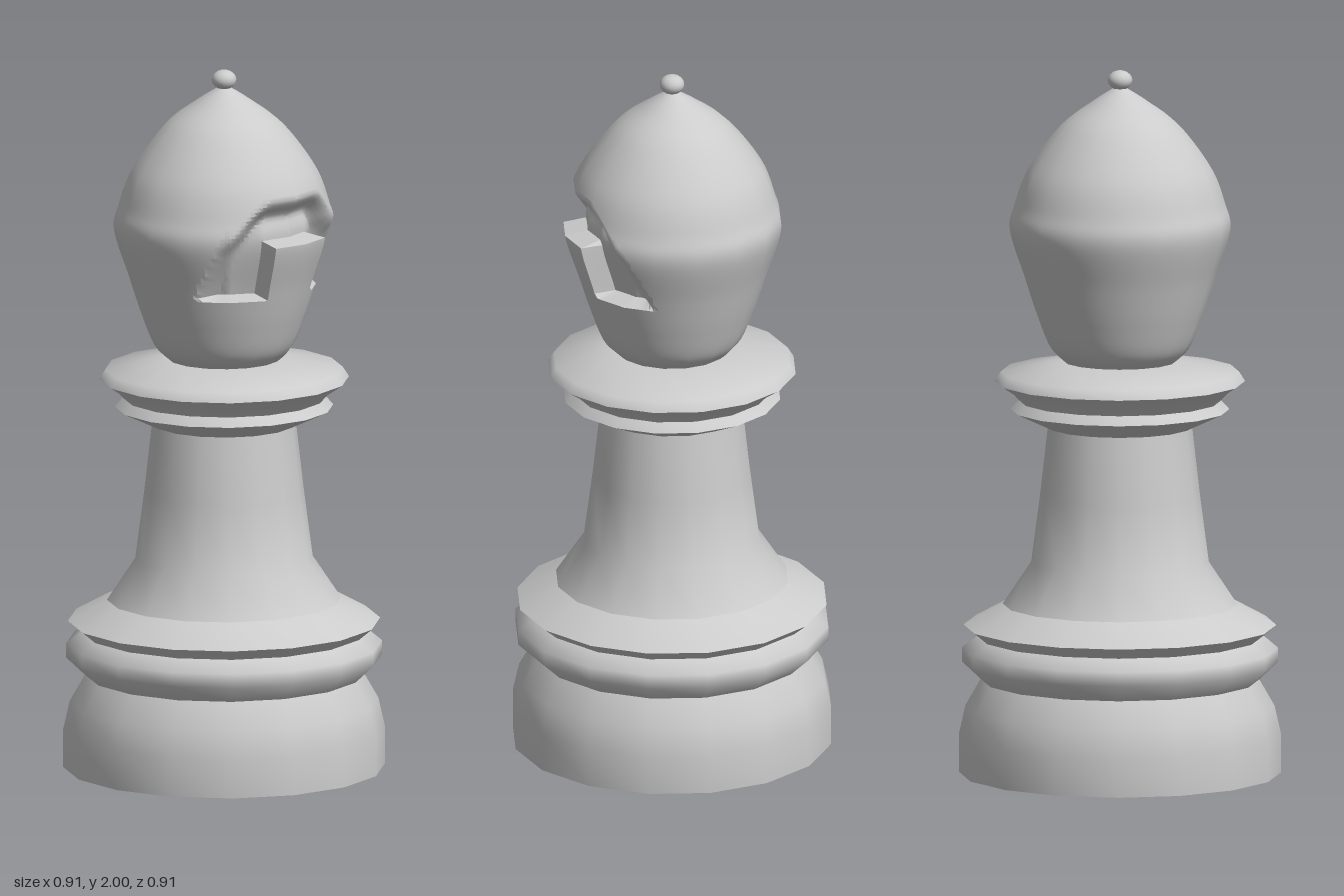
import * as THREE from 'three';
import { toCreasedNormals } from 'three/addons/utils/BufferGeometryUtils.js';

const SIDES = 16;
const material = new THREE.MeshStandardMaterial({ color: 0xcccccc });
const points = (list) => list.map(([r, y]) => new THREE.Vector2(r, y));

// Turned part with a coarse, smooth-shaded outline
function turned(name, profile, crease = 1.0) {
  const geometry = toCreasedNormals(new THREE.LatheGeometry(points(profile), SIDES), crease);
  const mesh = new THREE.Mesh(geometry, material);
  mesh.name = name;
  return mesh;
}

// Depth of the arched mouth cut at an angle from the front (degrees) and height
function cutDepth(angle, y) {
  const { smoothstep, lerp } = THREE.MathUtils;
  const bottom = angle < 21 ? 1.545 : 1.39;
  const top = 1.675 - 0.09 * smoothstep(angle, 18, 50);
  const edge = lerp(66, 47, THREE.MathUtils.clamp((y - 1.39) / 0.19, 0, 1));
  if (angle > edge || y < bottom || y > top) return 0;
  const roof = smoothstep(top - y, 0, 0.07);
  const side = smoothstep(edge - angle, -2, 14);
  return 0.066 * roof * side;
}

// Bulbous head, sixteen-sided like the body, with the mouth pressed into its front
function makeHead() {
  const profile = new THREE.SplineCurve(points([
    [0.15, 1.165], [0.195, 1.21], [0.232, 1.3], [0.268, 1.41], [0.31, 1.545],
    [0.296, 1.62], [0.258, 1.72], [0.17, 1.84], [0.08, 1.91], [0.01, 1.955],
  ])).getSpacedPoints(80);
  const geometry = new THREE.LatheGeometry(profile, SIDES * 8).toNonIndexed();
  const smooth = geometry.attributes.normal.clone();
  const pos = geometry.attributes.position;
  const step = (Math.PI * 2) / SIDES;
  const dented = [];
  for (let i = 0; i < pos.count; i++) {
    const x = pos.getX(i), y = pos.getY(i), z = pos.getZ(i);
    const angle = Math.atan2(x, z);
    const local = (((angle + Math.PI * 2 + 1e-7) % step) - step / 2);
    const r = Math.hypot(x, z) * Math.cos(step / 2) / Math.cos(local);
    const depth = cutDepth(Math.abs(angle) * 180 / Math.PI, y);
    dented.push(depth > 0);
    pos.setXYZ(i, Math.sin(angle) * (r - depth), y, Math.cos(angle) * (r - depth));
  }
  // Rounded shading on the intact surface, creased shading inside the cut
  const result = toCreasedNormals(geometry, 0.7);
  for (let i = 0; i < pos.count; i += 3) {
    if (dented[i] || dented[i + 1] || dented[i + 2]) continue;
    for (let k = i; k < i + 3; k++) {
      result.attributes.normal.setXYZ(k, smooth.getX(k), smooth.getY(k), smooth.getZ(k));
    }
  }
  const mesh = new THREE.Mesh(result, material);
  mesh.name = 'head';
  return mesh;
}

export function createModel() {
  const group = new THREE.Group();
  group.name = 'bishop';

  // Foot, waist grooves and rings
  group.add(turned('base', [
    [0, 0], [0.453, 0], [0.453, 0.11], [0.435, 0.19], [0.392, 0.265],
    [0.445, 0.315], [0.445, 0.355], [0.402, 0.388], [0.44, 0.42], [0.33, 0.48],
  ]));

  // Tapered stem
  group.add(turned('stem', [[0.33, 0.48], [0.25, 0.6], [0.225, 0.79], [0.203, 0.985]]));

  // Double-edged collar
  group.add(turned('collar', [
    [0.203, 0.985], [0.308, 1.035], [0.285, 1.06], [0.308, 1.085],
    [0.352, 1.115], [0.335, 1.142], [0.16, 1.172], [0, 1.175],
  ]));

  group.add(makeHead());

  // Small finial on the tip
  const finial = new THREE.Mesh(new THREE.SphereGeometry(0.035, 16, 10), material);
  finial.name = 'finial';
  finial.scale.y = 0.8;
  finial.position.y = 1.972;
  group.add(finial);
  group.add(turned('finialNeck', [[0.04, 1.93], [0.018, 1.948], [0.018, 1.965]]));

  return group;
}
